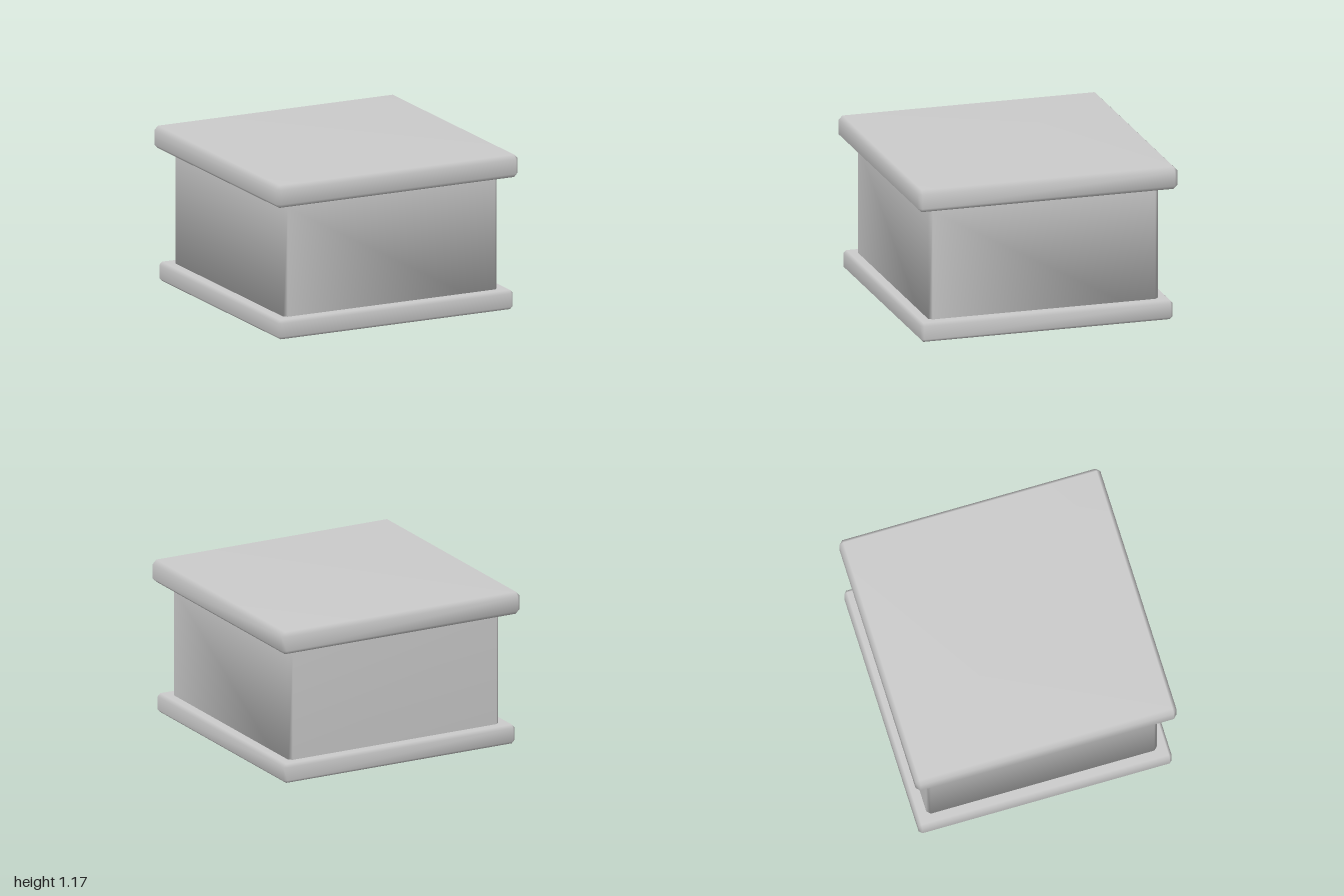
import * as THREE from 'three';
import { ConvexGeometry } from 'three/addons/geometries/ConvexGeometry.js';
import { mergeVertices } from 'three/addons/utils/BufferGeometryUtils.js';

const material = new THREE.MeshStandardMaterial({ color: 0xcccccc });

// Square block with chamfered edges; the bottom edge can be left sharp
function chamferedBlock(name, half, y0, y1, c, sharpBottom = false) {
  const points = [];
  for (const sx of [-1, 1]) for (const sz of [-1, 1]) {
    const add = (x, y, z) => points.push(new THREE.Vector3(sx * x, y, sz * z));
    const low = sharpBottom ? y0 : y0 + c;
    for (const y of [low, y1 - c]) {
      add(half, y, half - c);
      add(half - c, y, half);
    }
    add(half - c, y1, half - c);
    if (!sharpBottom) add(half - c, y0, half - c);
  }
  // Weld the corners so the shading runs smoothly over the chamfers
  let geometry = new ConvexGeometry(points);
  geometry.deleteAttribute('normal');
  geometry = mergeVertices(geometry);
  geometry.computeVertexNormals();
  const mesh = new THREE.Mesh(geometry, material);
  mesh.name = name;
  return mesh;
}

export function createModel() {
  const group = new THREE.Group();
  group.name = 'pedestal';
  group.add(
    chamferedBlock('base', 0.97, 0, 0.145, 0.022),
    chamferedBlock('body', 0.884, 0.005, 1.0, 0.027, true),
    chamferedBlock('lid', 1, 1.005, 1.175, 0.03),
  );
  return group;
}
